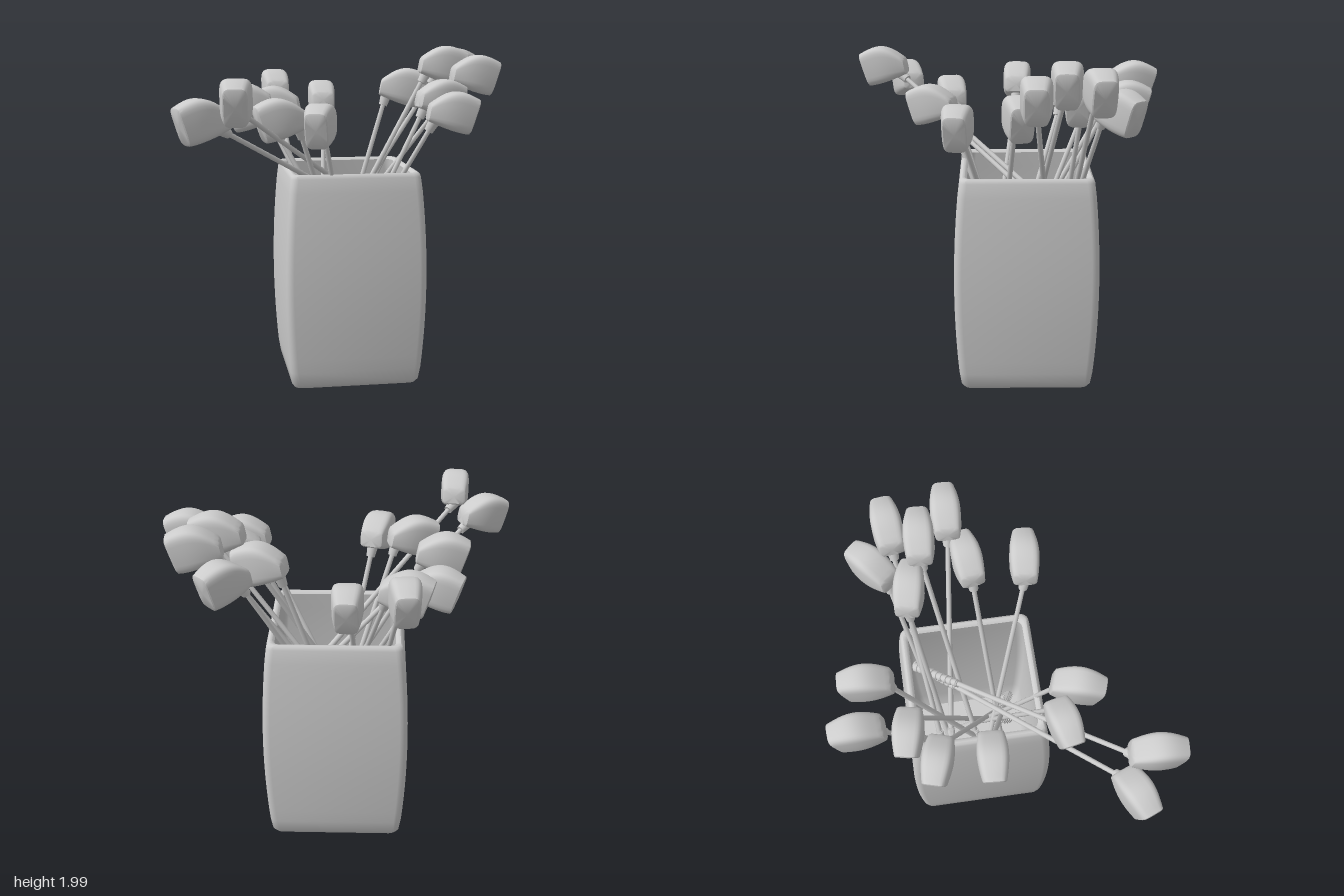
import * as THREE from 'three';
import { toCreasedNormals } from 'three/addons/utils/BufferGeometryUtils.js';

const material = new THREE.MeshStandardMaterial({ color: 0xcccccc });

function addMesh(parent, name, geometry) {
  const mesh = new THREE.Mesh(geometry, material);
  mesh.name = name;
  parent.add(mesh);
  return mesh;
}

// Skin over closed rings that all have the same number of points
function loft(rings, crease) {
  const n = rings[0].length;
  const index = [];
  for (let i = 0; i < rings.length - 1; i++) {
    for (let j = 0; j < n; j++) {
      const a = i * n + j, b = i * n + (j + 1) % n;
      index.push(a, b, a + n, b, b + n, a + n);
    }
  }
  const geometry = new THREE.BufferGeometry();
  geometry.setAttribute('position', new THREE.Float32BufferAttribute(rings.flat(2), 3));
  geometry.setIndex(index);
  return toCreasedNormals(geometry, crease);
}

// Rounded square ring at height y
function squareRing(half, y) {
  const r = Math.min(0.045, half * 0.5), ring = [];
  for (let c = 0; c < 4; c++) {
    const mid = (c + 0.5) * Math.PI / 2;
    const cx = Math.sign(Math.sin(mid)) * (half - r), cz = Math.sign(Math.cos(mid)) * (half - r);
    for (let k = 0; k <= 5; k++) {
      const t = (c + k / 5) * Math.PI / 2;
      ring.push([cx + r * Math.sin(t), y, cz + r * Math.cos(t)]);
    }
  }
  return ring;
}

// Open bulging container: outside going up, over the rim, inside going down
function containerGeometry() {
  const profile = [[0, 0], [0.345, 0], [0.365, 0.008], [0.38, 0.03]];
  const bulge = (t) => 0.383 + 0.033 * Math.sin(Math.PI * t) ** 0.8;
  for (let i = 1; i < 16; i++) profile.push([bulge(i / 16), 0.03 + 1.22 * i / 16]);
  profile.push([0.382, 1.255], [0.376, 1.272], [0.365, 1.28], [0.35, 1.278], [0.338, 1.265]);
  for (let i = 15; i > 0; i--) profile.push([bulge(i / 16) - 0.045, 0.03 + 1.22 * i / 16]);
  profile.push([0.33, 0.05], [0, 0.05]);
  return loft(profile.map(([h, y]) => squareRing(h, y)), 0.7);
}

// Club head: heel at x = 0, toe towards +x, sole near y = 0, slanted ends and arched crown
function headGeometry() {
  const section = (s, scale, push) => {
    const bottom = [0.235 * s, 0.08 * (1 - s) ** 1.4];
    const top = [0.02 + 0.28 * s, 0.18 + 0.02 * s + 0.055 * Math.sin(Math.PI * s)];
    const half = 0.065 + 0.02 * Math.sin(Math.PI * Math.min(1, s * 0.95 + 0.05));
    const ring = [];
    for (let k = 0; k < 28; k++) {
      const t = k / 28 * Math.PI * 2;
      const round = (v) => Math.sign(v) * Math.abs(v) ** 0.45;
      const m = 0.5 + 0.5 * scale * round(Math.cos(t));
      ring.push([
        bottom[0] + (top[0] - bottom[0]) * m + push,
        bottom[1] + (top[1] - bottom[1]) * m,
        half * scale * round(Math.sin(t)),
      ]);
    }
    return ring;
  };
  const rings = [section(0, 0, -0.008), section(0, 0.85, -0.006)];
  for (let i = 0; i <= 12; i++) rings.push(section(i / 12, 1, 0));
  rings.push(section(1, 0.9, 0.006), section(1, 0, 0.01));
  return loft(rings, 0.6);
}

// Ribbed handle, from its butt at y = 0 upwards
function gripGeometry() {
  const points = [new THREE.Vector2(0, 0), new THREE.Vector2(0.032, 0)];
  for (let i = 0; i < 9; i++) {
    const y = i * 0.04, r = 0.032 - i * 0.001;
    points.push(new THREE.Vector2(r, y + 0.028), new THREE.Vector2(r - 0.007, y + 0.03),
      new THREE.Vector2(r - 0.007, y + 0.038), new THREE.Vector2(r - 0.001, y + 0.04));
  }
  points.push(new THREE.Vector2(0, 0.362));
  return toCreasedNormals(new THREE.LatheGeometry(points, 10), 0.7);
}

// Each club: heel x, z; toe x, z; sole height; butt x, z
const clubs = [
  [-0.32, -0.63, -0.34, -0.92, 1.58, -0.1, 0.15],
  [-0.04, -0.56, -0.03, -0.85, 1.51, -0.14, 0.15],
  [-0.20, -0.49, -0.47, -0.54, 1.49, 0.18, 0.12],
  [-0.37, -0.34, -0.65, -0.42, 1.46, 0.28, 0.12],
  [-0.41, -0.08, -0.71, -0.10, 1.54, 0.32, 0.14],
  [0.51, -0.50, 0.73, -0.70, 1.58, -0.24, -0.22],
  [0.63, -0.47, 0.93, -0.50, 1.72, -0.25, -0.32],
  [0.30, -0.44, 0.59, -0.38, 1.60, -0.16, -0.25],
  [0.53, -0.33, 0.83, -0.31, 1.74, -0.25, -0.08],
  [0.69, -0.16, 0.99, -0.15, 1.69, -0.26, -0.31],
  [0.46, -0.05, 0.75, -0.09, 1.55, -0.24, 0.06],
  [0.45, 0.24, 0.75, 0.27, 1.50, -0.25, -0.14],
  [-0.26, 0.29, -0.55, 0.35, 1.48, 0.2, -0.2],
  [-0.15, 0.29, -0.24, 0.56, 1.46, 0.16, -0.22],
  [-0.71, 0.57, -0.98, 0.68, 1.51, 0.34, -0.44],
  [-0.66, 0.61, -0.69, 0.91, 1.62, 0.31, -0.44],
];

export function createModel() {
  const model = new THREE.Group();
  model.name = 'clubsInContainer';
  addMesh(model, 'container', containerGeometry()).position.set(0.04, 0, -0.125);

  const headShape = headGeometry(), gripShape = gripGeometry();
  const collarShape = new THREE.CylinderGeometry(0.034, 0.026, 0.07, 10);
  const up = new THREE.Vector3(0, 1, 0);

  for (const [hx, hz, tx, tz, sole, bx, bz] of clubs) {
    const club = new THREE.Group();
    club.name = 'club';
    model.add(club);

    const head = addMesh(club, 'head', headShape);
    head.position.set(hx, sole, hz);
    head.rotation.y = Math.atan2(hz - tz, tx - hx);

    // The shaft enters the sole near the heel; all clubs have about the same length
    const joint = new THREE.Vector3(0.04, 0.075, 0).applyAxisAngle(up, head.rotation.y).add(head.position);
    const run = Math.hypot(joint.x - bx, joint.z - bz);
    const rise = Math.sqrt(1.65 ** 2 - run ** 2);
    const butt = new THREE.Vector3(bx, Math.max(0.06, joint.y - rise), bz);
    const length = butt.distanceTo(joint);

    const stick = new THREE.Group();
    stick.name = 'stick';
    stick.position.copy(butt);
    stick.quaternion.setFromUnitVectors(up, joint.clone().sub(butt).normalize());
    club.add(stick);
    addMesh(stick, 'shaft', new THREE.CylinderGeometry(0.014, 0.017, length, 8)).position.y = length / 2;
    addMesh(stick, 'collar', collarShape).position.y = length - 0.03;
    addMesh(stick, 'grip', gripShape);
  }
  return model;
}
